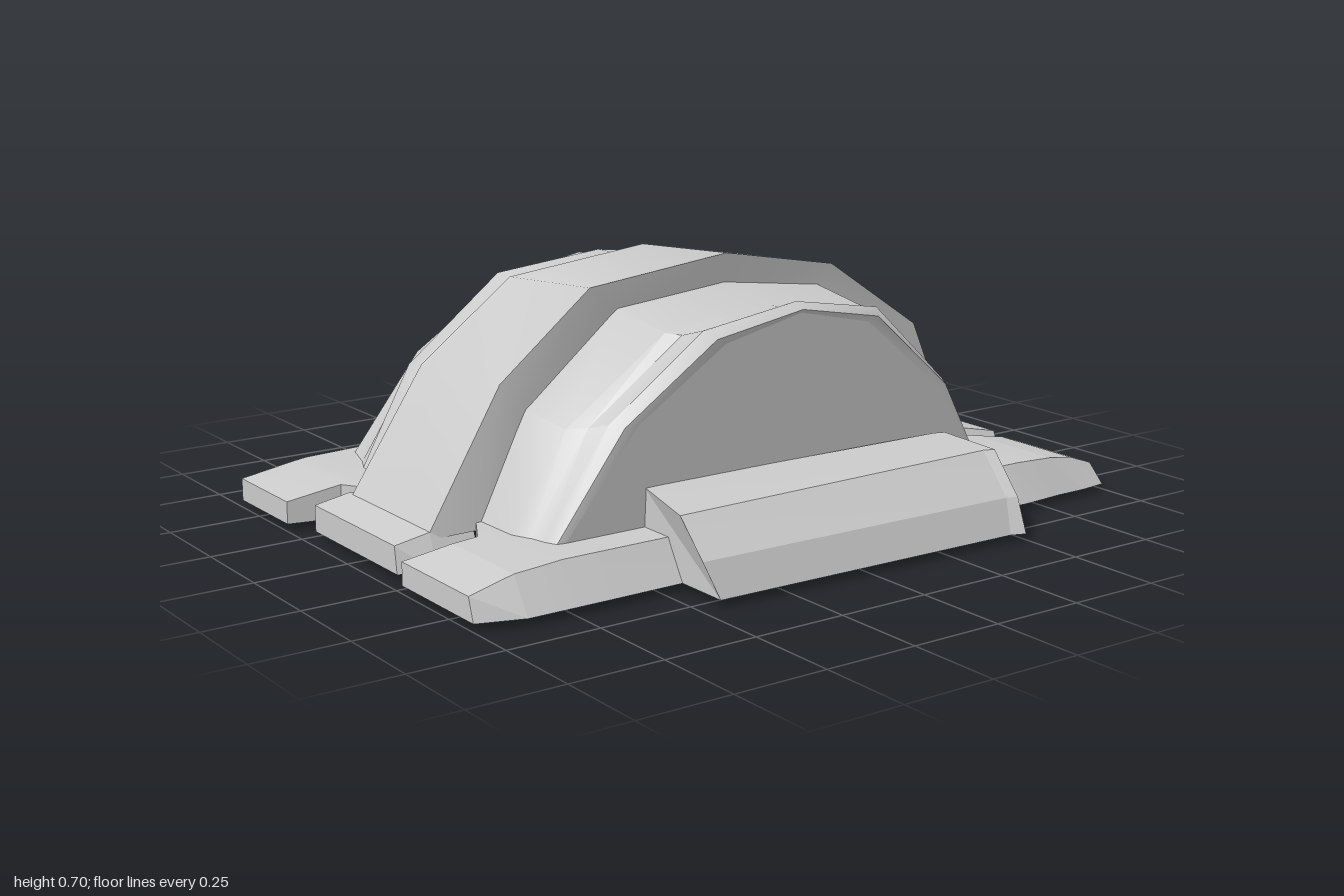
import * as THREE from 'three';
import { toCreasedNormals } from 'three/addons/utils/BufferGeometryUtils.js';

const material = new THREE.MeshStandardMaterial({ color: 0xcccccc, side: THREE.DoubleSide });

// Open-bottomed shell through equal-length rows of [x, y, z]; ends may be closed.
function loft(name, rows, capped, crease) {
  const tri = [];
  const push = (...p) => p.forEach((v) => tri.push(...v));
  const n = rows[0].length;
  for (let k = 0; k < rows.length - 1; k++) {
    const a = rows[k], b = rows[k + 1];
    for (let i = 0; i < n - 1; i++) {
      push(a[i], b[i], a[i + 1]);
      push(a[i + 1], b[i], b[i + 1]);
    }
  }
  if (capped) {
    const a = rows[0], b = rows[rows.length - 1];
    for (let i = 1; i < n - 1; i++) {
      push(a[0], a[i], a[i + 1]);
      push(b[0], b[i + 1], b[i]);
    }
  }
  const geometry = new THREE.BufferGeometry();
  geometry.setAttribute('position', new THREE.Float32BufferAttribute(tri, 3));
  geometry.computeVertexNormals();
  const mesh = new THREE.Mesh(toCreasedNormals(geometry, crease), material);
  mesh.name = name;
  return mesh;
}

// Arch outlines, from right foot over the crown to left foot
const BODY = [[-0.76, 0.1], [-0.61, 0.38], [-0.33, 0.6], [0, 0.63], [0.31, 0.59], [0.55, 0.36], [0.67, 0.1]];
const END = [[-0.69, 0.1], [-0.48, 0.38], [-0.23, 0.55], [0, 0.6], [0.22, 0.55], [0.48, 0.34], [0.64, 0.1]];
const BAND = [[-0.89, 0.09], [-0.68, 0.45], [-0.42, 0.66], [0, 0.705], [0.35, 0.64], [0.65, 0.44], [0.81, 0.09]];

// One arch row: blend of two outlines, leaning from zFoot to zCrown
function arch(from, to, blend, zFoot, zCrown, dy = 0) {
  return from.map(([x, y], i) => {
    const px = x + (to[i][0] - x) * blend;
    const py = y + (to[i][1] - y) * blend;
    const t = (py - 0.1) / 0.5;
    return [px, py + dy * Math.min(1, t), zFoot + (zCrown - zFoot) * t];
  });
}

// Stations [x, yTop, zFrontBottom, zFrontTop, zBackTop, zBackBottom] for base plates
const plate = (name, stations) => loft(name, stations.map(([x, y, a, b, c, d]) =>
  [[x, a === c ? y : 0.02, a], [x, y, b], [x, y, c], [x, d === b ? y : 0.02, d]]), true, 0.1);

export function createModel() {
  const group = new THREE.Group();

  // Arched hull, stepping in towards both ends
  const hull = [
    arch(BODY, END, 1, -0.51, -0.475),
    arch(BODY, END, 0.75, -0.54, -0.48),
    arch(BODY, END, 0.55, -0.49, -0.43, -0.02),
    arch(BODY, END, 0.35, -0.44, -0.42, -0.02),
    arch(BODY, END, 0.05, -0.39, -0.385),
    arch(BODY, END, 0, -0.33, -0.33),
    arch(BODY, END, 0, -0.19, -0.18, -0.02),
    arch(BODY, END, 0, 0.18, 0.18),
    arch(BODY, END, 0.05, 0.36, 0.4, -0.03),
    arch(BODY, END, 0.35, 0.41, 0.43, -0.02),
    arch(BODY, END, 0.5, 0.455, 0.5, 0.01),
    arch(BODY, END, 0.7, 0.485, 0.53),
    arch(BODY, END, 1, 0.49, 0.525),
  ];
  group.add(loft('archedBody', hull, false, 0.6));

  // Flat end faces
  const toFoot = (row) => row.map(([x]) => [x, 0.1, row[0][2]]);
  const last = hull[hull.length - 1];
  group.add(loft('frontEndFace', [last, toFoot(last)], false, 0.1));
  group.add(loft('backEndFace', [toFoot(hull[0]), hull[0]], false, 0.1));

  // Raised band across the middle
  group.add(loft('centreBand', [
    arch(BAND, BODY, 1, -0.225, -0.2, -0.04),
    arch(BAND, BAND, 0, -0.2, -0.17, -0.03),
    arch(BAND, BAND, 0, 0.2, 0.212),
    arch(BAND, BODY, 1, 0.225, 0.2, -0.03),
  ], false, 0.6));

  // Base plates: side arms reach inward round the hull
  group.add(plate('frontBasePlate', [
    [-1, 0.08, 0.61, 0.59, 0.28, 0.28],
    [-0.88, 0.11, 0.65, 0.59, 0.31, 0.31],
    [-0.81, 0.115, 0.65, 0.59, 0.31, 0.31],
    [-0.75, 0.12, 0.65, 0.59, 0.2, 0.2],
    [-0.66, 0.12, 0.65, 0.59, 0.2, 0.59],
    [-0.65, 0.12, 0.65, 0.59, 0.45, 0.59],
    [0.6, 0.12, 0.64, 0.59, 0.45, 0.59],
    [0.61, 0.12, 0.64, 0.59, 0.2, 0.59],
    [0.69, 0.12, 0.64, 0.59, 0.2, 0.2],
    [0.81, 0.115, 0.63, 0.59, 0.3, 0.3],
    [0.9, 0.1, 0.63, 0.58, 0.31, 0.31],
    [0.985, 0.07, 0.62, 0.57, 0.28, 0.28],
  ]));
  group.add(plate('backBasePlate', [
    [-1, 0.08, -0.33, -0.33, -0.6, -0.6],
    [-0.86, 0.11, -0.3, -0.3, -0.58, -0.58],
    [-0.82, 0.115, -0.21, -0.21, -0.58, -0.58],
    [-0.66, 0.12, -0.58, -0.2, -0.58, -0.58],
    [-0.65, 0.12, -0.58, -0.45, -0.58, -0.58],
    [0.6, 0.12, -0.58, -0.45, -0.58, -0.58],
    [0.61, 0.12, -0.58, -0.2, -0.58, -0.58],
    [0.72, 0.12, -0.2, -0.2, -0.58, -0.58],
    [0.83, 0.115, -0.33, -0.33, -0.58, -0.58],
    [0.97, 0.085, -0.3, -0.3, -0.6, -0.6],
    [0.99, 0.02, -0.3, -0.3, -0.6, -0.6],
  ]));
  group.add(plate('rightSidePlate', [
    [-0.97, 0.09, 0.2, 0.19, -0.23, -0.23],
    [-0.88, 0.11, 0.24, 0.2, -0.22, -0.22],
    [-0.76, 0.11, 0.24, 0.2, -0.2, -0.2],
  ]));
  group.add(plate('leftSidePlate', [
    [0.7, 0.11, 0.24, 0.2, -0.2, -0.2],
    [0.85, 0.11, 0.24, 0.2, -0.22, -0.22],
    [0.955, 0.09, 0.25, 0.22, -0.225, -0.225],
  ]));

  // Sloped slabs in front of and behind the flat ends
  group.add(loft('frontSlab', [
    [[-0.45, 0.02, 0.8], [-0.48, 0.11, 0.77], [-0.48, 0.2, 0.68], [-0.45, 0.22, 0.49], [-0.45, 0.02, 0.49]],
    [[0.45, 0.02, 0.82], [0.46, 0.11, 0.79], [0.46, 0.215, 0.7], [0.46, 0.22, 0.51], [0.46, 0.02, 0.51]],
    [[0.49, 0.02, 0.835], [0.49, 0.11, 0.8], [0.49, 0.215, 0.71], [0.49, 0.22, 0.52], [0.49, 0.02, 0.52]],
  ], true, 0.1));
  group.add(loft('backSlab', [
    [[-0.45, 0.02, -0.5], [-0.45, 0.21, -0.52], [-0.48, 0.21, -0.65], [-0.48, 0.11, -0.84], [-0.45, 0.02, -0.8]],
    [[0.46, 0.02, -0.5], [0.46, 0.22, -0.52], [0.46, 0.22, -0.63], [0.46, 0.11, -0.82], [0.46, 0.02, -0.79]],
    [[0.49, 0.02, -0.5], [0.47, 0.21, -0.52], [0.48, 0.2, -0.62], [0.49, 0.11, -0.78], [0.49, 0.02, -0.77]],
  ], true, 0.1));

  // Small feet under the side plates
  for (const [x, side] of [[-0.8, 'right'], [0.81, 'left']]) {
    for (const [z, end] of [[0.225, 'Front'], [-0.17, 'Back']]) {
      const foot = new THREE.Mesh(new THREE.BoxGeometry(0.16, 0.06, 0.04), material);
      foot.position.set(x, 0.03, z);
      foot.name = side + end + 'Foot';
      group.add(foot);
    }
  }
  return group;
}
